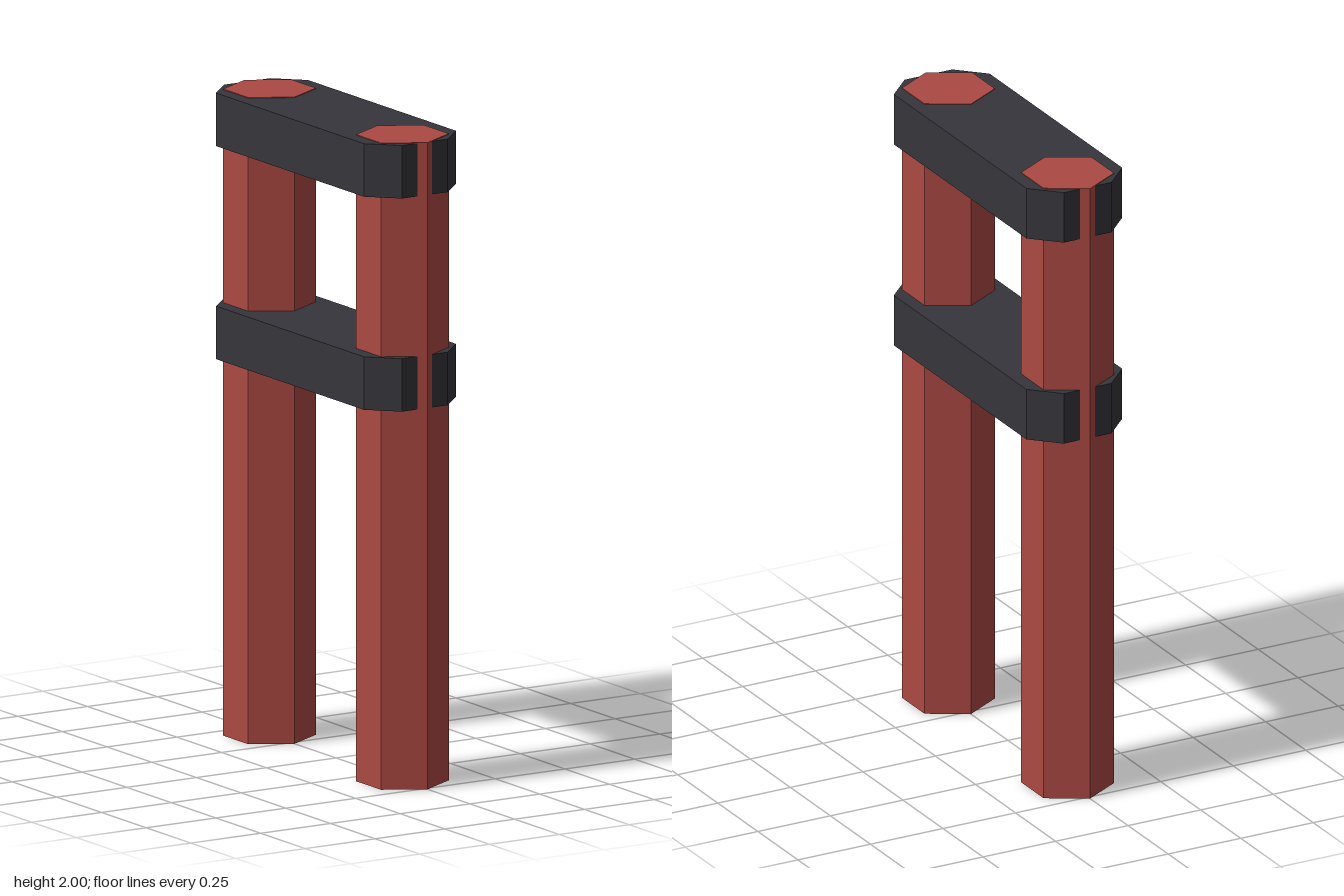
import * as THREE from 'three';

export function createModel() {
  const model = new THREE.Group();
  model.name = 'postFrame';

  const red = new THREE.MeshStandardMaterial({ color: 0xab4842, flatShading: true });
  red.name = 'red';
  const charcoal = new THREE.MeshStandardMaterial({ color: 0x36353b, flatShading: true });
  charcoal.name = 'charcoal';

  // Two hexagonal posts, corners pointing along z
  const postGeometry = new THREE.CylinderGeometry(0.14, 0.14, 2, 6);
  for (const [name, z] of [['frontPost', 0.372], ['backPost', -0.372]]) {
    const post = new THREE.Mesh(postGeometry, red);
    post.name = name;
    post.position.set(0, 1, z);
    model.add(post);
  }

  // Crossbars: a rectangle with chamfered corners, extruded upward
  const w = 0.165, l = 0.497, c = 0.083;
  const outline = new THREE.Shape([
    [w, -l + c], [w, l - c], [w - c, l], [-w + c, l],
    [-w, l - c], [-w, -l + c], [-w + c, -l], [w - c, -l],
  ].map(([x, y]) => new THREE.Vector2(x, y)));
  const barGeometry = new THREE.ExtrudeGeometry(outline, { depth: 0.164, bevelEnabled: false });
  barGeometry.rotateX(-Math.PI / 2);

  // The top bar sits a hair below the post tops so they stay visible
  for (const [name, y] of [['lowerCrossbar', 1.175], ['upperCrossbar', 1.834]]) {
    const bar = new THREE.Mesh(barGeometry, charcoal);
    bar.name = name;
    bar.position.y = y;
    model.add(bar);
  }

  return model;
}
